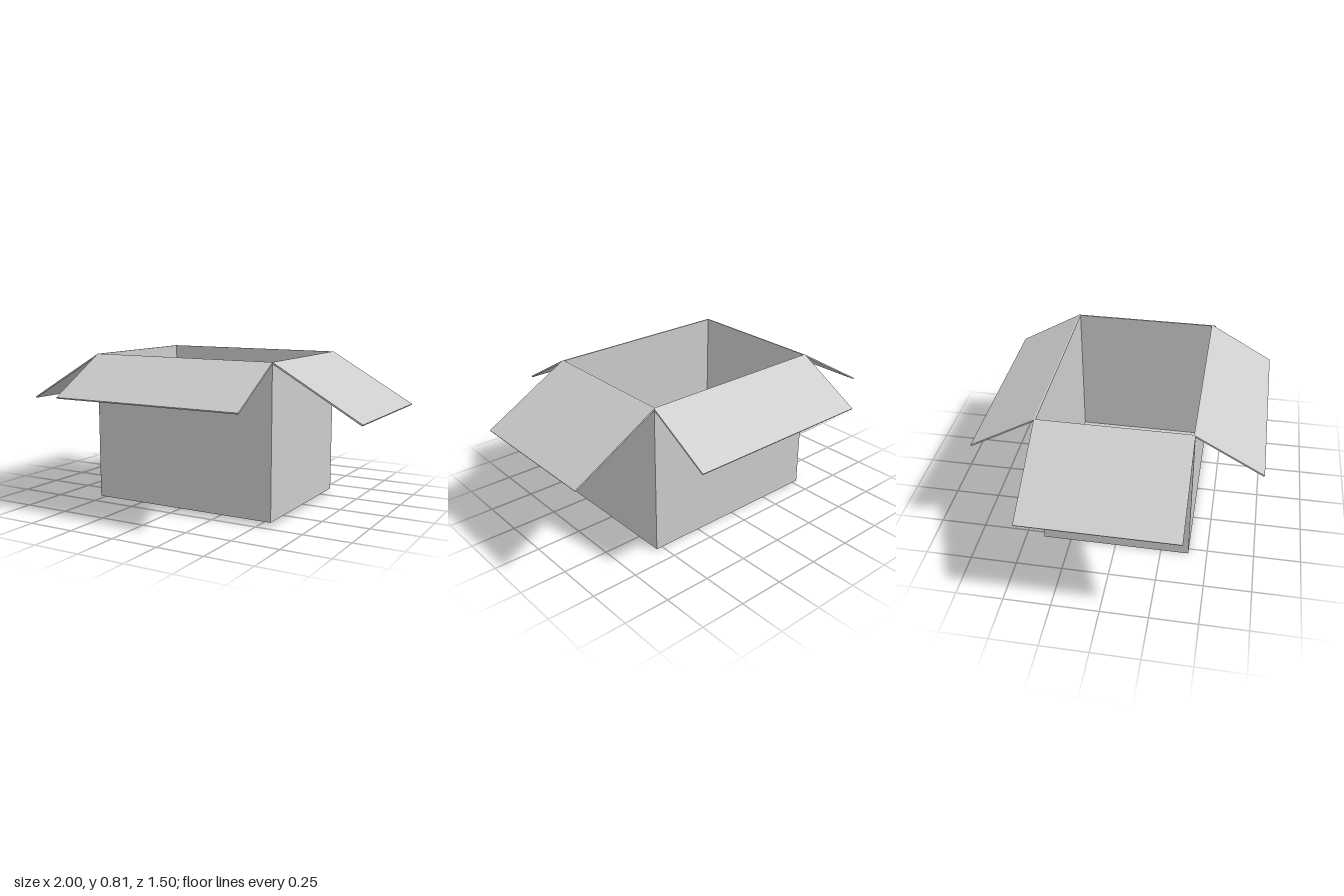
import * as THREE from 'three';

const HEIGHT = 0.806;  // top of the walls
const HALF_X = 0.534;  // half the box width
const HALF_Z = 0.4;    // half the box depth
const T = 0.008;       // board thickness
const DROOP = Math.PI / 6; // how far the open flaps hang below level

export function createModel() {
  const board = new THREE.MeshStandardMaterial({ color: 0xcccccc });
  board.name = 'grey cardboard';

  const panel = (name, w, h, d, x, y, z) => {
    const mesh = new THREE.Mesh(new THREE.BoxGeometry(w, h, d), board);
    mesh.name = name;
    mesh.position.set(x, y, z);
    return mesh;
  };

  const model = new THREE.Group();
  model.name = 'openBox';

  // Floor, set inside the walls
  model.add(panel('floor', 2 * (HALF_X - T), T, 2 * (HALF_Z - T), 0, T / 2, 0));

  // Four sides, each a wall with a flap hinged along its top edge
  const sides = [
    { name: 'left', turn: 0, out: HALF_X, wall: 2 * (HALF_Z - T), edge: 2 * HALF_Z, flap: 0.538 },
    { name: 'right', turn: Math.PI, out: HALF_X, wall: 2 * (HALF_Z - T), edge: 2 * HALF_Z, flap: 0.538 },
    { name: 'front', turn: -Math.PI / 2, out: HALF_Z, wall: 2 * HALF_X, edge: 2 * HALF_X, flap: 0.404 },
    { name: 'back', turn: Math.PI / 2, out: HALF_Z, wall: 2 * HALF_X, edge: 2 * HALF_X, flap: 0.404 },
  ];
  for (const s of sides) {
    const side = new THREE.Group();
    side.name = `${s.name}Side`;
    side.rotation.y = s.turn;
    side.add(panel(`${s.name}Wall`, T, HEIGHT, s.wall, s.out - T / 2, HEIGHT / 2, 0));

    const hinge = new THREE.Group();
    hinge.name = `${s.name}Hinge`;
    hinge.position.set(s.out, HEIGHT, 0);
    hinge.rotation.z = -DROOP;
    hinge.add(panel(`${s.name}Flap`, s.flap, T, s.edge, s.flap / 2, -T / 2, 0));
    side.add(hinge);
    model.add(side);
  }
  return model;
}
